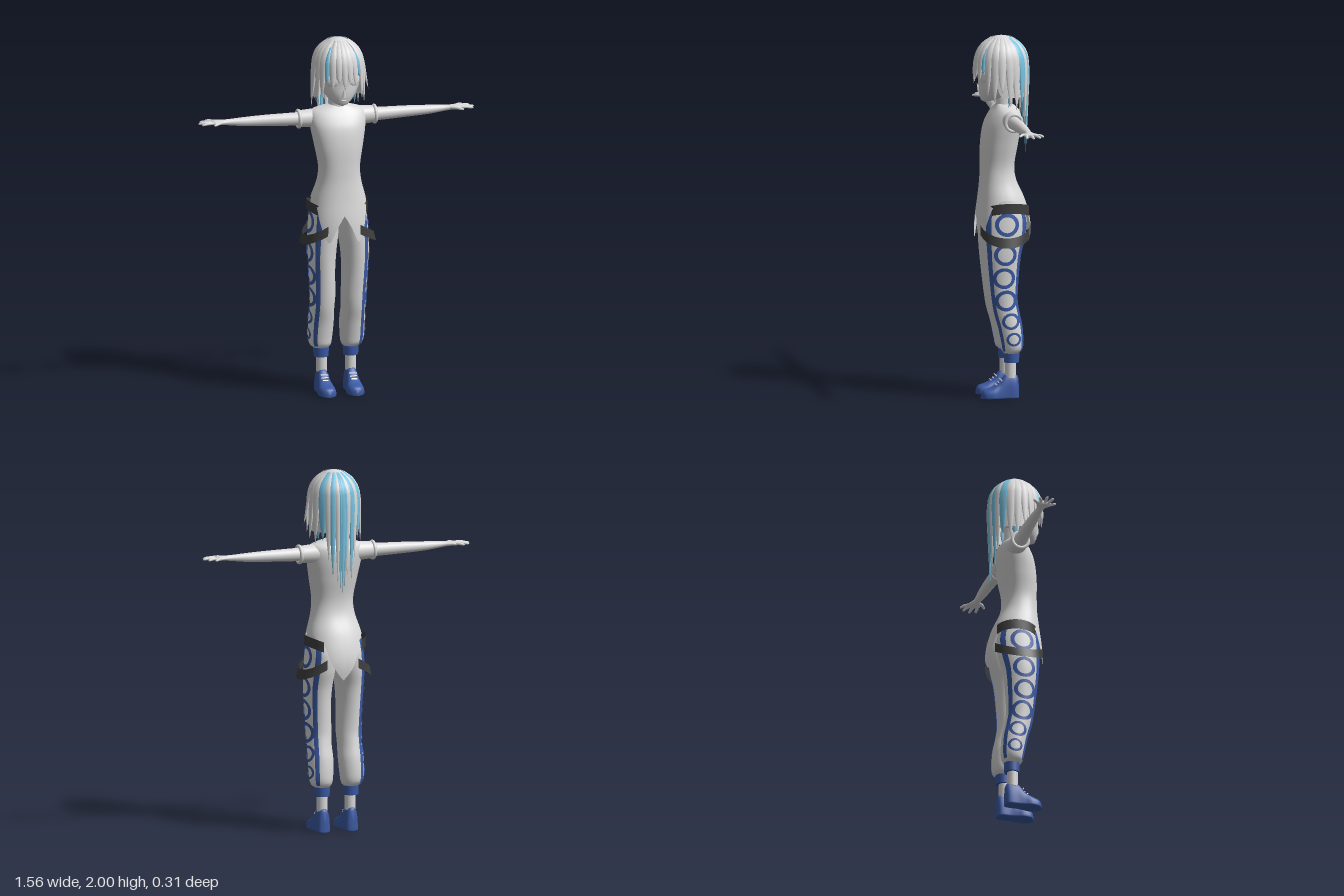
import * as THREE from 'three';
import { mergeVertices } from 'three/addons/utils/BufferGeometryUtils.js';

const { sin, cos, PI, sqrt, abs, sign, min, max } = Math;
const rad = d => d * PI / 180;
const mat = (name, color) => {
  const m = new THREE.MeshStandardMaterial({ color, side: THREE.DoubleSide });
  m.name = name;
  return m;
};

// Smooth lookup in a table of rows whose first column ascends
function look(rows, k) {
  const n = rows.length;
  let i = 0;
  while (i < n - 2 && k > rows[i + 1][0]) i++;
  const a = rows[i], b = rows[i + 1], h = b[0] - a[0];
  const t = min(1, max(0, (k - a[0]) / h)), t2 = t * t, t3 = t2 * t;
  const slope = (j, c) => {
    const p = rows[max(0, j - 1)], q = rows[min(n - 1, j + 1)];
    return (q[c] - p[c]) / (q[0] - p[0]);
  };
  return a.slice(1).map((v, c) => (2 * t3 - 3 * t2 + 1) * v + (t3 - 2 * t2 + t) * h * slope(i, c + 1)
    + (3 * t2 - 2 * t3) * b[c + 1] + (t3 - t2) * h * slope(i + 1, c + 1));
}

// Grid surface from fn(u, v) -> [x, y, z]
function surf(fn, nu, nv) {
  const pos = [], idx = [], w = nu + 1;
  for (let j = 0; j <= nv; j++) for (let i = 0; i <= nu; i++) pos.push(...fn(i / nu, j / nv));
  for (let j = 0; j < nv; j++) for (let i = 0; i < nu; i++) {
    const a = j * w + i;
    idx.push(a, a + w, a + 1, a + 1, a + w, a + w + 1);
  }
  let g = new THREE.BufferGeometry();
  g.setAttribute('position', new THREE.Float32BufferAttribute(pos, 3));
  g.setIndex(idx);
  g = mergeVertices(g, 1e-5);
  g.computeVertexNormals();
  return g;
}

// Flattened tapering tube along points; normalAt gives the thin direction
function strand(pts, width, thick, taper, normalAt) {
  const curve = new THREE.CatmullRomCurve3(pts.map(p => new THREE.Vector3(...p)));
  return surf((u, v) => {
    const p = curve.getPoint(v), t = curve.getTangent(v);
    const side = t.clone().cross(normalAt(p)).normalize(), n = side.clone().cross(t);
    const f = taper(v), a = u * 2 * PI;
    return p.addScaledVector(side, cos(a) * width * f).addScaledVector(n, sin(a) * thick * f).toArray();
  }, 8, 14);
}
const lockTaper = v => (0.4 + 0.6 * min(1, v * 2.5)) * (1 - v ** 2.6);
const fingerTaper = v => sqrt(max(0, 1 - v ** 8));
const fromHead = p => new THREE.Vector3(p.x, p.y - min(p.y, 1.82), p.z).normalize();

// Profiles: height, half width, front z, back z
const TORSO = [[0.82, 0.165, 0.15, -0.14], [0.92, 0.171, 0.15, -0.155], [1, 0.167, 0.145, -0.148], [1.1, 0.15, 0.132, -0.12],
  [1.2, 0.122, 0.122, -0.076], [1.28, 0.115, 0.12, -0.066], [1.4, 0.135, 0.117, -0.085], [1.5, 0.153, 0.1, -0.1],
  [1.56, 0.157, 0.07, -0.1], [1.595, 0.135, 0.045, -0.085], [1.62, 0.045, 0.03, -0.05]];
const HEM = [[-90, 0.85], [-72, 0.93], [-52, 1.05], [-20, 1.095], [5, 1.1], [30, 1.06], [48, 0.95], [63, 0.87], [80, 0.96], [90, 1.02]];
const FACE = [[1.628, 0, 0.095, 0.095], [1.635, 0.025, 0.112, 0.05], [1.66, 0.06, 0.122, 0], [1.7, 0.09, 0.13, -0.05],
  [1.75, 0.113, 0.131, -0.085], [1.81, 0.12, 0.135, -0.1], [1.89, 0.115, 0.125, -0.1], [1.96, 0.06, 0.06, -0.06]];
// Height, centre x, half width, front z, back z
const LEG = [[0.245, 0.085, 0.035, -0.005, -0.07], [0.262, 0.088, 0.056, 0.016, -0.09], [0.3, 0.09, 0.066, 0.025, -0.1],
  [0.4, 0.088, 0.07, 0.047, -0.096], [0.48, 0.088, 0.067, 0.07, -0.08], [0.55, 0.087, 0.069, 0.082, -0.07],
  [0.7, 0.092, 0.071, 0.1, -0.078], [0.8, 0.092, 0.077, 0.11, -0.09], [0.9, 0.085, 0.082, 0.117, -0.115],
  [1, 0.08, 0.079, 0.115, -0.12], [1.12, 0.075, 0.07, 0.09, -0.08]];
// Distance along arm, half height, half depth, y, z
const ARM = [[0.14, 0.04, 0.04, 1.545, -0.027], [0.22, 0.037, 0.037, 1.543, -0.027], [0.4, 0.031, 0.031, 1.545, -0.032],
  [0.52, 0.025, 0.026, 1.546, -0.033], [0.62, 0.016, 0.019, 1.549, -0.033], [0.66, 0.013, 0.03, 1.551, -0.033],
  [0.7, 0.011, 0.04, 1.551, -0.036], [0.715, 0, 0, 1.551, -0.036]];
// Distance along shoe, half width, height, centre x
const SHOE = [[-0.08, 0, 0.06, 0.082], [-0.074, 0.024, 0.115, 0.082], [-0.055, 0.036, 0.132, 0.082], [-0.005, 0.037, 0.13, 0.082],
  [0.03, 0.042, 0.09, 0.081], [0.07, 0.049, 0.064, 0.08], [0.11, 0.04, 0.05, 0.079], [0.125, 0.022, 0.038, 0.079], [0.132, 0, 0.015, 0.079]];

const pow = (c, e) => sign(c) * abs(c) ** e;
const legSide = (y, k, off) => { // outer point of the trouser leg at normalised depth k
  const [cx, rx, zf, zb] = look(LEG, y), e = max(-1, min(1, k));
  return [cx + (rx + off) * sqrt(1 - e * e), y, (zf + zb) / 2 + (zf - zb) / 2 * e + off * e];
};

export function createModel() {
  const root = new THREE.Group();
  const white = mat('white', 0xd9d9d9), blue = mat('denim blue', 0x3b5aa3);
  const sky = mat('sky blue', 0x78c2e0), dark = mat('charcoal', 0x3e3e3e);
  const add = (name, geo, m, x = 0, y = 0, z = 0) => {
    const mesh = new THREE.Mesh(geo, m);
    mesh.name = name;
    mesh.position.set(x, y, z);
    root.add(mesh);
    return mesh;
  };

  // Long top with pointed tails and arched sides
  add('torso', surf((u, v) => {
    const a = u * 2 * PI, s = sin(a);
    const hem = look(HEM, Math.asin(max(-1, min(1, s))) * 180 / PI)[0];
    const y = hem + (1.62 - hem) * v, [w, f, b] = look(TORSO, y);
    return [w * pow(cos(a), 0.88), y, (f + b) / 2 + (f - b) / 2 * pow(s, 0.88)];
  }, 96, 44), white);
  add('neck', new THREE.CylinderGeometry(0.042, 0.05, 0.14, 24), white, 0, 1.64, -0.012);

  // Face
  add('face', surf((u, v) => {
    const y = 1.628 + 0.332 * v, [w, f, b] = look(FACE, y), a = u * 2 * PI;
    return [w * cos(a), y, (f + b) / 2 + (f - b) / 2 * sin(a)];
  }, 40, 26), white);
  const nose = add('nose', new THREE.ConeGeometry(0.014, 0.05, 10), white, 0, 1.712, 0.131);
  nose.rotation.x = 0.35;
  add('mouth', new THREE.SphereGeometry(1, 12, 8), white, 0, 1.666, 0.121).scale.set(0.017, 0.005, 0.006);

  // Hair cap, cut high over the face
  const skull = (az, el, k = 1) => [0.14 * k * cos(el) * cos(az), 1.82 + 0.18 * k * sin(el), 0.003 + 0.147 * k * cos(el) * sin(az)];
  add('hairCap', surf((u, v) => {
    const az = u * 2 * PI, front = min(1, max(0, (sin(az) - 0.2) / 0.4));
    const low = 1.67 + 0.2 * front, y = 2 - (2 - low) * (1 - cos(v * PI / 2));
    const el = Math.asin(max(0, min(1, (y - 1.82) / 0.18)));
    const p = skull(az, el, 0.97);
    return [p[0], y - 0.004, p[2]];
  }, 48, 20), white);

  // Locks: azimuth in degrees (90 is front), tip height, tip spread, width, colour, top elevation
  const lock = (az, tip, spread, width, m, top = 68) => {
    const a = rad(az), end = skull(a, 0, spread);
    const pts = [top, top * 0.62, top * 0.25].map(e => skull(a, rad(e), 0.985));
    const mid = skull(a, 0, (1 + spread) / 2);
    pts.push([mid[0], (1.82 + tip) / 2, mid[2]], [end[0], tip, end[2]]);
    add('hairLock', strand(pts, width, 0.013, lockTaper, fromHead), m);
  };
  const locks = [
    // fringe
    [90, 1.735, 1.04, 0.024, white], [103, 1.77, 1.05, 0.024, white], [77, 1.76, 1.05, 0.026, white],
    [117, 1.73, 1.04, 0.025, white], [63, 1.75, 1.04, 0.025, white], [131, 1.77, 1.02, 0.018, sky, 50],
    [52, 1.8, 1.02, 0.014, sky, 40], [143, 1.68, 1.02, 0.028, white], [40, 1.67, 1.02, 0.028, white],
    // sides
    [157, 1.63, 1.03, 0.03, white], [24, 1.64, 1.04, 0.03, white], [173, 1.65, 1.1, 0.03, white],
    [8, 1.7, 1.2, 0.03, white], [-9, 1.62, 1.1, 0.032, white], [189, 1.61, 1.04, 0.032, white],
    [-24, 1.6, 1.03, 0.034, white], [204, 1.6, 1.03, 0.034, white],
    [-42, 1.62, 0.97, 0.036, sky], [222, 1.62, 0.97, 0.036, sky],
    // long back
    [-56, 1.52, 0.95, 0.028, white], [236, 1.52, 0.95, 0.028, white], [-66, 1.42, 0.93, 0.026, sky],
    [246, 1.4, 0.93, 0.026, sky], [-78, 1.38, 0.91, 0.023, white], [258, 1.42, 0.91, 0.023, white],
    [-90, 1.335, 0.92, 0.025, sky], [-84, 1.36, 0.9, 0.016, sky], [264, 1.37, 0.9, 0.016, sky]];
  locks.forEach(l => lock(...l));

  for (const s of [1, -1]) {
    const S = fn => (u, v) => { const p = fn(u, v); return [s * p[0], p[1], p[2]]; };
    const eye = add('eye', new THREE.SphereGeometry(1, 20, 12), white, s * 0.062, 1.775, 0.112);
    eye.scale.set(0.036, 0.031, 0.01);
    eye.rotation.y = s * 0.4;
    // Inner hair tips beside the neck
    add('hairTip', strand([[s * 0.1, 1.78, -0.03], [s * 0.105, 1.7, -0.03], [s * 0.1, 1.61, -0.02]], 0.022, 0.01, lockTaper, fromHead), sky);

    // Sleeve, arm and hand
    const sleeve = add('sleeve', new THREE.CylinderGeometry(0.046, 0.054, 0.11, 28, 1, true), white, s * 0.16, 1.543, -0.027);
    sleeve.rotation.z = -s * PI / 2;
    const band = add('sleeveBand', new THREE.TorusGeometry(0.045, 0.01, 10, 32), white, s * 0.215, 1.543, -0.027);
    band.rotation.y = PI / 2;
    add('arm', surf(S((u, v) => {
      const x = 0.14 + 0.575 * v, [ry, rz, y, z] = look(ARM, x), a = u * 2 * PI;
      return [x, y + ry * sin(a), z + rz * cos(a)];
    }), 20, 40), white);
    const up = () => new THREE.Vector3(0, 1, 0);
    const fingers = [[0.645, -0.015, 0.675, 0.012, 0.708, 0.034], [0.69, -0.01, 0.73, -0.002, 0.77, 0.002], [0.69, -0.027, 0.74, -0.03, 0.782, -0.034],
      [0.69, -0.045, 0.73, -0.06, 0.765, -0.074], [0.68, -0.058, 0.705, -0.08, 0.73, -0.098]];
    for (const [x0, z0, x1, z1, x2, z2] of fingers)
      add('finger', strand([[s * x0, 1.551, z0], [s * x1, 1.553, z1], [s * x2, 1.548, z2]], 0.0085, 0.0075, fingerTaper, up), white);

    // Trouser leg
    add('trouserLeg', surf(S((u, v) => {
      const y = 0.245 + 0.875 * v, [cx, rx, zf, zb] = look(LEG, y), a = u * 2 * PI;
      return [cx + rx * cos(a), y, (zf + zb) / 2 + (zf - zb) / 2 * sin(a)];
    }), 36, 50), white);
    // Side stripes with a chain of rings
    for (const [k0, k1] of [[0.7, 0.9], [-0.9, -0.7]])
      add('sideStripe', surf(S((u, v) => legSide(0.265 + 0.8 * v, k0 + (k1 - k0) * u, 0.004)), 4, 50), blue);
    const rings = [[0.97, 0, 0.064], [0.805, 0.01, 0.06], [0.675, 0.016, 0.058], [0.55, 0.004, 0.058], [0.435, -0.022, 0.046], [0.335, -0.038, 0.038]];
    for (const [cy, cz, r] of rings)
      add('sideRing', surf(S((u, v) => {
        const a = u * 2 * PI, q = r * (0.68 + 0.32 * v), y = cy + q * sin(a), [, , zf, zb] = look(LEG, y);
        return legSide(y, (cz + q * cos(a) - (zf + zb) / 2) / ((zf - zb) / 2), 0.005);
      }), 36, 3), blue);

    // Straps
    add('hipStrap', surf(S((u, v) => {
      const a = rad(-70 + 140 * u);
      return [0.08 + 0.088 * cos(a), 1.025 + 0.035 * cos(a) + 0.056 * (v - 0.5), -0.015 + 0.122 * sin(a)];
    }), 28, 1), dark);
    add('thighStrap', surf(S((u, v) => {
      const a = rad(-85 + 170 * u);
      return [0.08 + (0.124 + 0.014 * (0.5 - v)) * cos(a), 0.945 - 0.07 * cos(a) + 0.054 * (v - 0.5), 0.137 * sin(a)];
    }), 36, 1), dark);

    // Ankle cuff, ankle and shoe
    add('ankleCuff', new THREE.CylinderGeometry(0.044, 0.041, 0.052, 24), blue, s * 0.084, 0.225, -0.038);
    add('ankle', new THREE.CylinderGeometry(0.031, 0.03, 0.1, 20), white, s * 0.082, 0.165, -0.033);
    add('shoe', surf(S((u, v) => {
      const z = -0.08 + 0.212 * v, [w, h, cx] = look(SHOE, z), a = u * 2 * PI;
      const y = sin(a) < 0 ? 0.012 * (1 - pow(-sin(a), 0.4)) : 0.012 + (h - 0.012) * sin(a) ** 0.8;
      return [cx + max(0, w) * pow(cos(a), 0.75), y, z];
    }), 32, 40), blue);
    for (let i = 0; i < 3; i++) {
      const lace = add('shoeLace', new THREE.BoxGeometry(0.045 - 0.006 * i, 0.006, 0.007), white, s * 0.081, 0.103 - 0.013 * i, 0.021 + 0.013 * i);
      lace.rotation.x = 0.8;
      lace.rotation.z = (i % 2 ? 1 : -1) * 0.12;
    }
  }
  return root;
}
